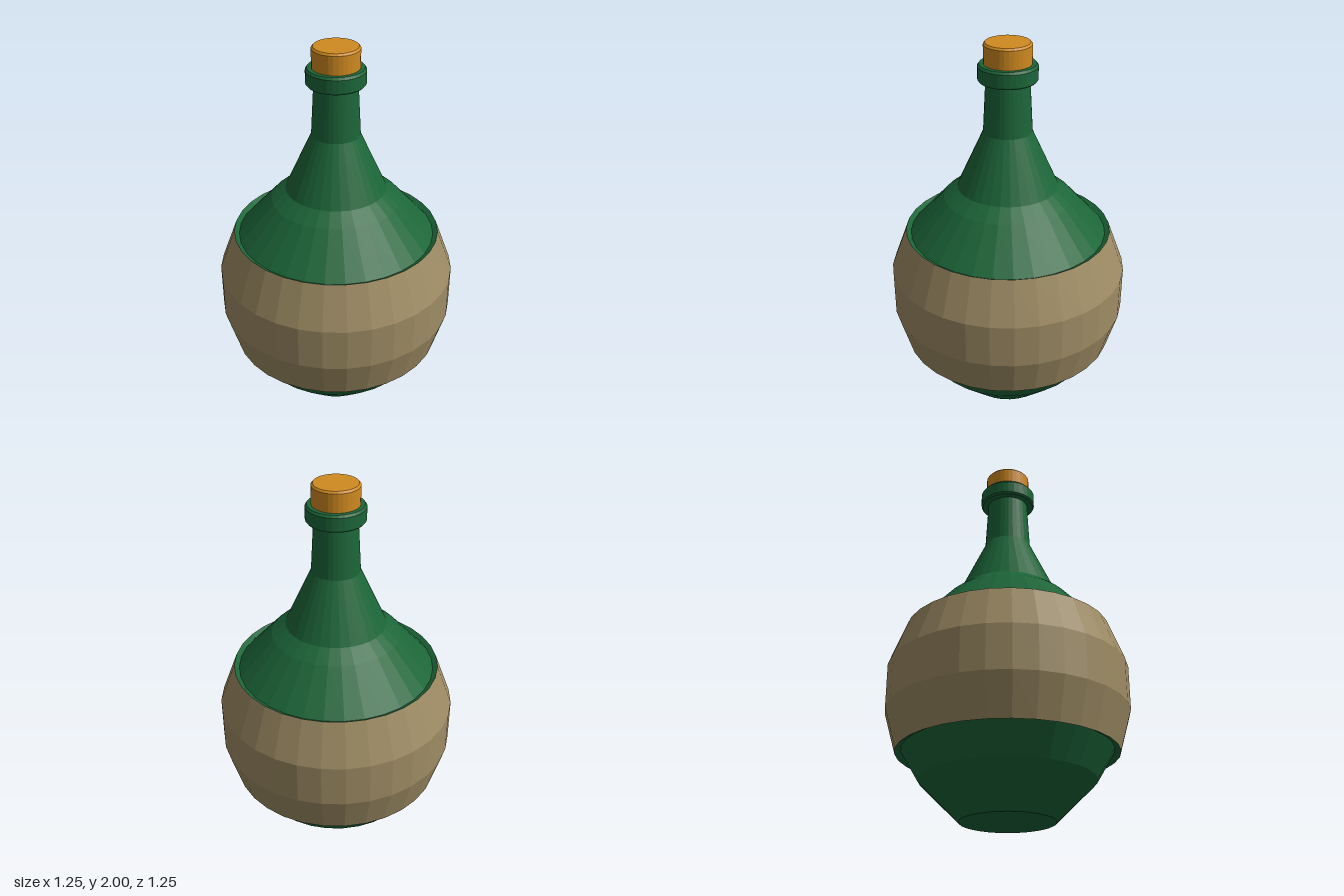
import * as THREE from 'three';

const SIDES = 32;

const material = (color) =>
  new THREE.MeshStandardMaterial({ color, flatShading: true, side: THREE.DoubleSide });

// Turned part from [radius, height] pairs, listed bottom to top
function turned(name, profile, mat) {
  const points = profile.map(([r, y]) => new THREE.Vector2(r, y));
  const mesh = new THREE.Mesh(new THREE.LatheGeometry(points, SIDES), mat);
  mesh.name = name;
  return mesh;
}

export function createModel() {
  const group = new THREE.Group();
  group.name = 'corkedFlask';
  const glass = material(0x1c6639);
  const wicker = material(0x9e8c64);
  const cork = material(0xd08a20);

  group.add(
    // Glass base, ending in a narrow rim that meets the wrap
    turned('glassBase', [[0, 0], [0.24, 0], [0.445, 0.2], [0.535, 0.35], [0.565, 0.335]], glass),

    // Wicker wrap around the belly
    turned('wickerWrap', [[0.565, 0.335], [0.625, 0.545], [0.625, 0.775], [0.54, 1]], wicker),

    // Rim inside the wrap, sloping shoulder and neck
    turned('glassShoulderAndNeck', [
      [0.54, 1], [0.515, 0.985], [0.335, 1.185], [0.262, 1.245],
      [0.125, 1.545], [0.11, 1.82],
    ], glass),

    // Collar with bevelled edges at the mouth
    turned('mouthCollar', [
      [0.105, 1.808], [0.142, 1.808], [0.15, 1.818], [0.15, 1.883],
      [0.141, 1.895], [0.105, 1.895],
    ], glass),

    // Stopper with a bevelled top
    turned('corkStopper', [
      [0, 1.85], [0.11, 1.85], [0.12, 1.89], [0.12, 1.99], [0.111, 2], [0, 2],
    ], cork),
  );
  return group;
}
